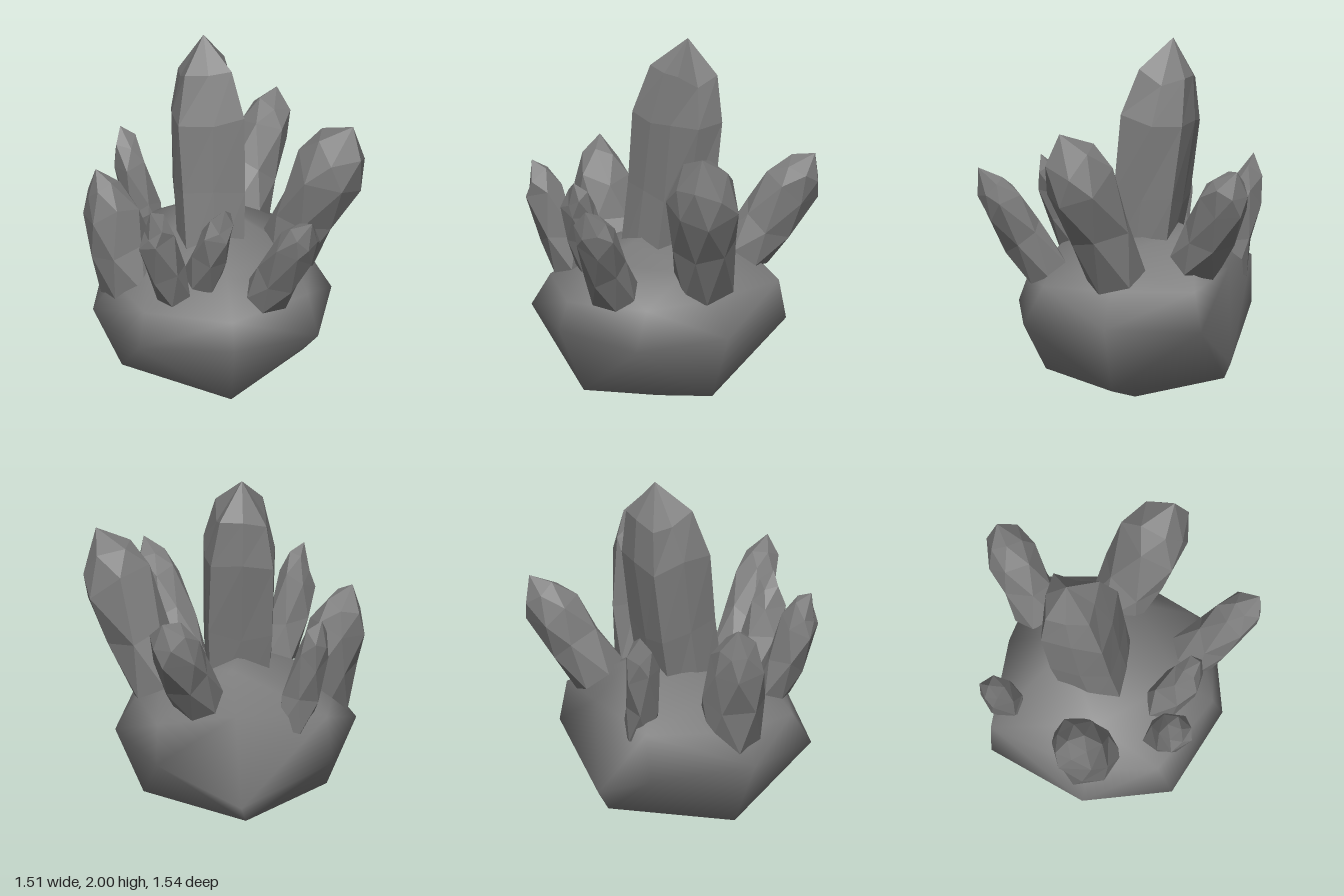
import * as THREE from 'three';
import { ConvexGeometry } from 'three/addons/geometries/ConvexGeometry.js';
import { mergeVertices } from 'three/addons/utils/BufferGeometryUtils.js';

const GREY = 0x7c7c7c;

// Small seeded generator for the uneven facets
function seeded(seed) {
  let s = seed * 7919 + 13;
  return () => (s = (s * 16807) % 2147483647) / 2147483647;
}

// Distance along the crystal, relative radius
const PROFILE = [[-0.08, 1], [0.27, 1.03], [0.63, 1.06], [0.82, 0.76]];

// Faceted crystal: rings along the axis from base to tip.
// stagger turns each ring by part of a side, taper thins it upwards,
// square pushes every second corner outwards.
function crystal({ name, base, tip, radius, seed, sides = 6, rough = 0.1, stagger = 0.5, taper = 0, square = 0, turn = seed * 0.7 }) {
  const rand = seeded(seed);
  const wobble = (amount) => (rand() * 2 - 1) * amount;
  const from = new THREE.Vector3(...base);
  const axis = new THREE.Vector3(...tip).sub(from);
  const length = axis.length();

  const rings = PROFILE.map(([t, r], k) => Array.from({ length: sides }, (_, i) => {
    const a = turn + ((i + k * stagger) / sides) * Math.PI * 2 + wobble(rough);
    const d = radius * r * (1 - taper * t) * (1 + square * (i % 2)) * (1 + wobble(rough));
    const y = length * (t + (k ? wobble(rough * 0.6) : 0));
    return new THREE.Vector3(Math.cos(a) * d, y, Math.sin(a) * d);
  }));

  const points = [];
  for (let k = 0; k < rings.length; k++) {
    for (let i = 0; i < sides; i++) {
      const j = (i + 1) % sides;
      const low = rings[k], up = rings[k + 1];
      if (up) points.push(low[i], up[i], low[j], up[i], up[j], low[j]);
      else points.push(low[i], new THREE.Vector3(0, length, 0), low[j]);
    }
  }
  const geometry = new THREE.BufferGeometry().setFromPoints(points);
  geometry.computeVertexNormals();

  const mesh = new THREE.Mesh(geometry, new THREE.MeshStandardMaterial({ color: GREY, flatShading: true }));
  mesh.name = name;
  mesh.position.copy(from);
  mesh.quaternion.setFromUnitVectors(new THREE.Vector3(0, 1, 0), axis.normalize());
  return mesh;
}

// Smooth-shaded boulder: diamond underside, eight-cornered waist, flat back, domed top
function rockBase() {
  const corners = [
    [-0.05, 0, -0.03],
    [-0.04, 0.13, 0.47], [0.445, 0.13, -0.04], [-0.06, 0.13, -0.53], [-0.555, 0.13, -0.03],
    [-0.72, 0.5, 0], [0.6, 0.5, -0.04], [-0.05, 0.5, 0.625], [-0.03, 0.22, -0.575],
    [-0.55, 0.48, 0.46], [0.44, 0.47, 0.46], [0.43, 0.48, -0.54], [-0.53, 0.46, -0.55],
    [-0.5, 0.65, 0.37], [0.4, 0.68, 0.36], [0.42, 0.7, -0.5], [-0.5, 0.73, -0.56],
    [-0.05, 0.65, 0.57], [-0.6, 0.66, 0], [0.48, 0.69, -0.04], [0, 0.76, -0.575],
    [0.34, 0.83, 0.06], [-0.4, 0.84, 0], [-0.05, 0.83, 0.38],
    [-0.05, 0.99, -0.25], [0, 0.95, -0.37], [-0.03, 0.92, 0.15],
  ];
  let geometry = new ConvexGeometry(corners.map((c) => new THREE.Vector3(...c)));
  geometry.deleteAttribute('normal');
  geometry = mergeVertices(geometry, 1e-4);
  geometry.computeVertexNormals();
  const mesh = new THREE.Mesh(geometry, new THREE.MeshStandardMaterial({ color: GREY }));
  mesh.name = 'rockBase';
  return mesh;
}

export function createModel() {
  const model = new THREE.Group();
  model.name = 'crystalCluster';
  model.add(rockBase());

  const crystals = [
    { name: 'mainCrystal', base: [-0.06, 0.82, -0.07], tip: [-0.07, 2, -0.24], radius: 0.175, sides: 8, seed: 1, rough: 0.05, stagger: 0, taper: -0.05, square: 0.3, turn: 0 },
    { name: 'leftCrystal', base: [0.38, 0.8, -0.02], tip: [0.68, 1.59, 0.19], radius: 0.168, seed: 2, taper: -0.2 },
    { name: 'backLeftCrystal', base: [0.2, 0.86, -0.46], tip: [0.42, 1.38, -0.74], radius: 0.145, seed: 3, taper: 0.1 },
    { name: 'frontLeftCrystal', base: [0.18, 0.77, 0.43], tip: [0.36, 1.31, 0.74], radius: 0.13, seed: 4, taper: 0.2 },
    { name: 'rightCrystal', base: [-0.5, 0.68, -0.01], tip: [-0.69, 1.31, -0.09], radius: 0.178, seed: 5, taper: 0.35 },
    { name: 'frontRightCrystal', base: [-0.35, 0.78, 0.36], tip: [-0.49, 1.33, 0.5], radius: 0.1, sides: 5, seed: 6, rough: 0.16, taper: 0.1 },
    { name: 'frontCrystal', base: [-0.16, 0.83, 0.33], tip: [-0.08, 1.31, 0.51], radius: 0.105, sides: 5, seed: 7, rough: 0.16, taper: 0.2 },
    { name: 'backRightCrystal', base: [-0.33, 0.71, -0.49], tip: [-0.47, 1.3, -0.58], radius: 0.09, sides: 5, seed: 8, rough: 0.16 },
  ];
  crystals.forEach((c) => model.add(crystal(c)));
  return model;
}
